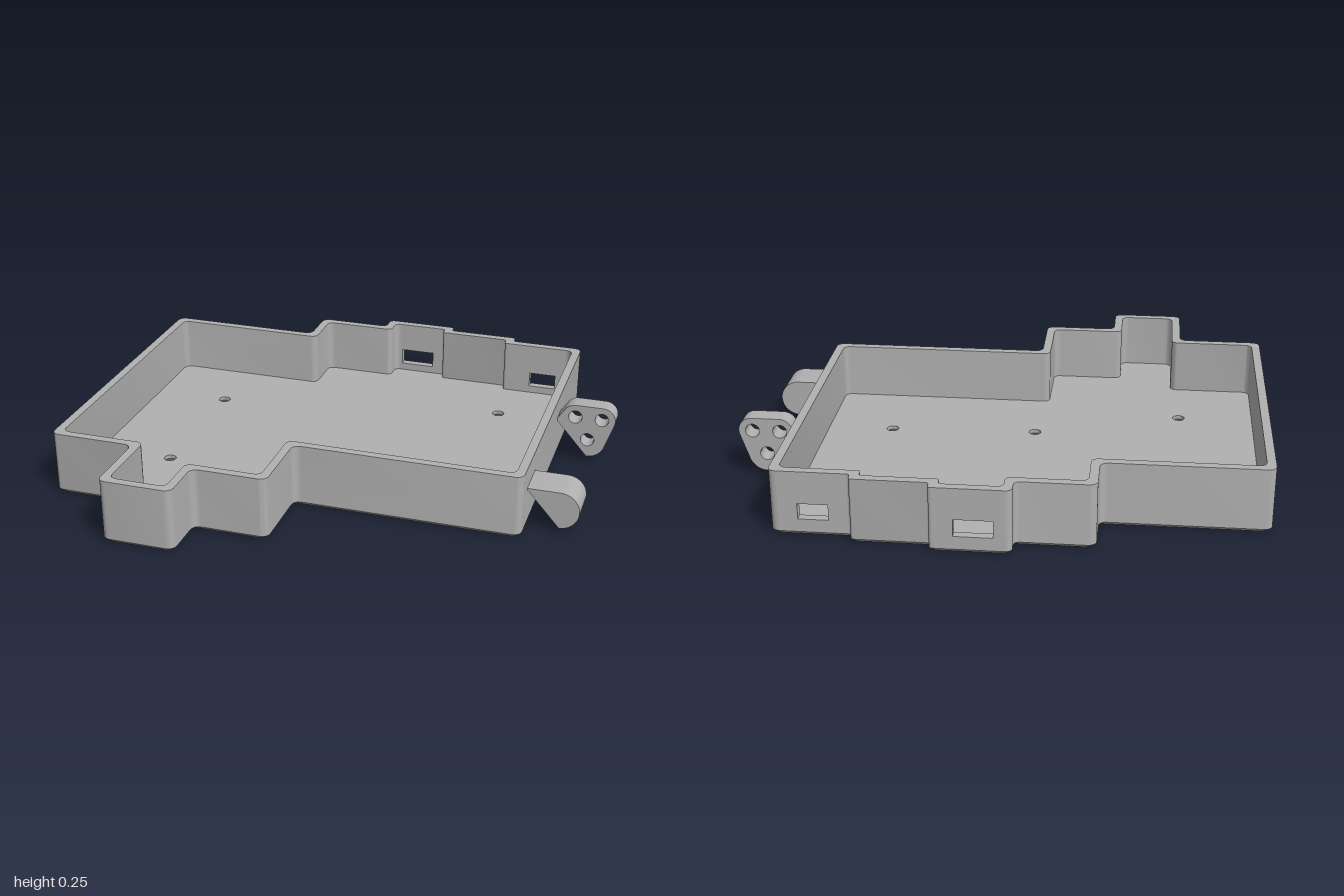
import * as THREE from 'three';
import { toCreasedNormals } from 'three/addons/utils/BufferGeometryUtils.js';

const HEIGHT = 0.25, WALL = 0.033, FLOOR = 0.035, CHAMFER = 0.015, ARC = 6;

// Tray outline as [x, z] corners, clockwise seen from above
const OUTLINE = [
  [-1, -0.635], [-0.383, -0.635], [-0.383, -0.812], [-0.095, -0.812], [-0.095, -0.885],
  [0.195, -0.885], [0.195, -0.849], [0.477, -0.849], [0.477, -0.812], [0.77, -0.812],
  [0.77, 0.413], [-0.097, 0.413], [-0.097, 0.7], [-0.385, 0.7], [-0.385, 0.882],
  [-0.668, 0.882], [-0.668, 0.592], [-1, 0.592],
];
const SCREWS = [[-0.67, -0.315], [-0.67, 0.262], [-0.095, 0.067], [0.48, -0.53], [0.48, 0.045]];
const SCREW_R = 0.024, SINK_R = 0.044;

// Wall edges with a port cut through: outline edge index, x range, y range
const PORTS = [
  { edge: 4, x: [-0.03, 0.11], y: [0.065, 0.13] },
  { edge: 8, x: [0.56, 0.67], y: [0.065, 0.125] },
];

// Outline moved inwards by d, with rounded corners
function contour(d, radius) {
  const n = OUTLINE.length;
  const dir = (i) => {
    const [p, q] = [OUTLINE[i % n], OUTLINE[(i + 1) % n]];
    return new THREE.Vector2(q[0] - p[0], q[1] - p[1]);
  };
  const points = [];
  for (let i = 0; i < n; i++) {
    const a = dir(i + n - 1), b = dir(i);
    const r = Math.min(radius, 0.3 * a.length(), 0.3 * b.length());
    a.normalize();
    b.normalize();
    const cx = OUTLINE[i][0] - d * (a.y + b.y) + r * (b.x - a.x);
    const cz = OUTLINE[i][1] + d * (a.x + b.x) + r * (b.y - a.y);
    for (let s = 0; s <= ARC; s++) {
      const t = (s / ARC) * Math.PI / 2;
      points.push([
        cx + r * (a.x * Math.sin(t) - b.x * Math.cos(t)),
        cz + r * (a.y * Math.sin(t) - b.y * Math.cos(t)),
      ]);
    }
  }
  return points;
}

// Skin joining closed rings of [x, y, z]; skip(level, index) leaves a gap
function loft(rings, skip = () => false) {
  const pos = [];
  for (let k = 0; k < rings.length - 1; k++) {
    const A = rings[k], B = rings[k + 1];
    A.forEach((p, i) => {
      if (skip(k, i)) return;
      const j = (i + 1) % A.length;
      pos.push(...p, ...B[i], ...B[j], ...p, ...B[j], ...A[j]);
    });
  }
  const g = new THREE.BufferGeometry();
  g.setAttribute('position', new THREE.Float32BufferAttribute(pos, 3));
  return toCreasedNormals(g, 0.6);
}

function circleHole(x, y, r) {
  return new THREE.Path().absarc(x, y, r, 0, Math.PI * 2, true);
}

function rectangle(target, [x0, x1], [y0, y1]) {
  return target.setFromPoints([[x0, y0], [x1, y0], [x1, y1], [x0, y1], [x0, y0]]
    .map(([x, y]) => new THREE.Vector2(x, y)));
}

export function createModel() {
  const model = new THREE.Group();
  const grey = new THREE.MeshStandardMaterial({ color: 0xb0b0b0, side: THREE.DoubleSide });
  grey.name = 'grey plastic';
  const add = (name, geometry, parent = model) => {
    const mesh = new THREE.Mesh(geometry, grey);
    mesh.name = name;
    parent.add(mesh);
    return mesh;
  };

  // Walls: chamfered foot, outside, rim, inside
  const base = contour(CHAMFER, 0.028), outer = contour(0, 0.03), inner = contour(WALL, 0.026);
  const at = (points, y) => points.map(([x, z]) => [x, y, z]);
  const gaps = PORTS.map((p) => p.edge * (ARC + 1) + ARC);
  add('walls', loft(
    [at(base, 0), at(outer, CHAMFER), at(outer, HEIGHT), at(inner, HEIGHT), at(inner, FLOOR)],
    (level, i) => (level === 1 || level === 3) && gaps.includes(i),
  ));

  // Floor, top and underside, with screw holes
  const cap = (points, sign, r) => {
    const shape = new THREE.Shape(points.map(([x, z]) => new THREE.Vector2(x, sign * z)));
    SCREWS.forEach(([x, z]) => shape.holes.push(circleHole(x, sign * z, r)));
    return new THREE.ShapeGeometry(shape, 16).rotateX(sign * Math.PI / 2);
  };
  add('floor', cap(inner, -1, SCREW_R).translate(0, FLOOR, 0));
  add('underside', cap(base, 1, SINK_R));

  // Countersunk bores, facing inwards
  const bore = toCreasedNormals(new THREE.LatheGeometry([
    new THREE.Vector2(SCREW_R, FLOOR), new THREE.Vector2(SCREW_R, 0.02), new THREE.Vector2(SINK_R, 0),
  ], 32), 0.6);
  SCREWS.forEach(([x, z]) => add('screwHole', bore).position.set(x, 0, z));

  // Pierced wall panels in the back
  PORTS.forEach((port, k) => {
    const group = new THREE.Group();
    group.name = 'portPanel';
    model.add(group);
    const face = (points, y0) => {
      const [p, q] = [points[gaps[k]], points[gaps[k] + 1]];
      const shape = rectangle(new THREE.Shape(), [p[0], q[0]], [y0, HEIGHT]);
      shape.holes.push(rectangle(new THREE.Path(), port.x, port.y));
      return { z: p[1], geometry: new THREE.ShapeGeometry(shape) };
    };
    const inside = face(inner, FLOOR), outside = face(outer, CHAMFER);
    add('portInside', inside.geometry.translate(0, 0, inside.z), group);

    // Outside face is wound the other way round
    const index = outside.geometry.index.array;
    for (let i = 0; i < index.length; i += 3) [index[i], index[i + 1]] = [index[i + 1], index[i]];
    outside.geometry.computeVertexNormals();
    add('portOutside', outside.geometry.translate(0, 0, outside.z), group);

    const [x0, x1] = port.x, [y0, y1] = port.y;
    const ring = (z) => [[x0, y0, z], [x1, y0, z], [x1, y1, z], [x0, y1, z]];
    add('portTunnel', loft([ring(outside.z), ring(inside.z)]), group);
  });

  // Hinge lugs on the left side
  const lug = (name, shape, holes, z0, z1) => {
    holes.forEach(([x, y]) => shape.holes.push(circleHole(x, y, 0.027)));
    const g = new THREE.ExtrudeGeometry(shape, { depth: z1 - z0, bevelEnabled: false, curveSegments: 20 });
    add(name, toCreasedNormals(g.translate(0, 0, z0), 0.6));
  };
  const pivot = [0.893, 0.0925], R = 0.0725, r = 0.051;

  const wide = new THREE.Shape().moveTo(0.765, 0.02);
  wide.absarc(...pivot, R, -Math.PI / 2, Math.PI / 2, false).lineTo(0.765, 0.165);
  lug('frontLug', wide, [pivot], 0.177, 0.325);

  const narrow = new THREE.Shape().moveTo(0.765, 0.02);
  narrow.absarc(...pivot, R, -Math.PI / 2, -0.31, false)
    .absarc(0.947, 0.185, r, -0.31, Math.PI / 2, false)
    .absarc(0.84, 0.185, r, Math.PI / 2, 2.6, false)
    .lineTo(0.765, 0.165);
  lug('rearLug', narrow, [pivot, [0.84, 0.185], [0.945, 0.185]], -0.353, -0.278);

  return model;
}
